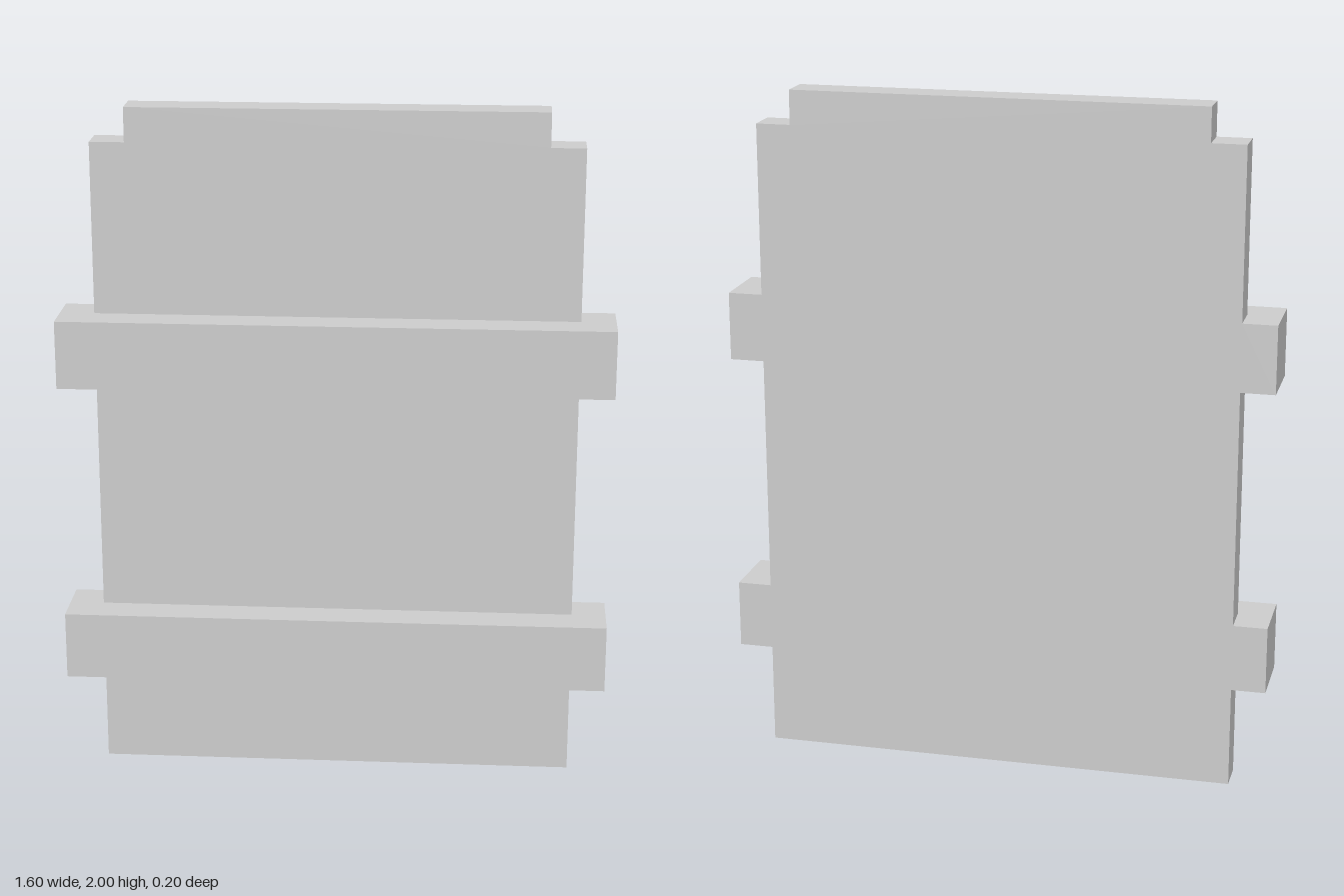
import * as THREE from 'three';

const material = new THREE.MeshStandardMaterial({ color: 0xcccccc, flatShading: true });

function extrude(points, depth) {
  const shape = new THREE.Shape(points.map(([x, y]) => new THREE.Vector2(x, y)));
  return new THREE.ExtrudeGeometry(shape, { depth, bevelEnabled: false });
}

// Adds the mirrored half to an outline given on the +x side
const mirrorX = (half) => [...half, ...half.map(([x, y]) => [-x, y]).reverse()];

export function createModel() {
  const group = new THREE.Group();
  group.name = 'door';

  // Flat panel with stepped upper corners
  const panelGeometry = extrude(mirrorX([[0.7, 0], [0.7, 1.9], [0.6, 1.9], [0.6, 2]]), 0.1);
  panelGeometry.translate(0, 0, -0.1);
  const panel = new THREE.Mesh(panelGeometry, material);
  panel.name = 'panel';
  group.add(panel);

  // Cross bars: plan outline (x, -z) whose ends wrap round the panel's edges
  const barGeometry = extrude(mirrorX([[0.8, -0.1], [0.8, 0.1], [0.7, 0.1], [0.7, 0]]), 0.2);
  barGeometry.rotateX(-Math.PI / 2);
  for (const [name, y] of [['lowerCrossBar', 0.3], ['upperCrossBar', 1.2]]) {
    const bar = new THREE.Mesh(barGeometry, material);
    bar.name = name;
    bar.position.y = y;
    group.add(bar);
  }

  return group;
}
